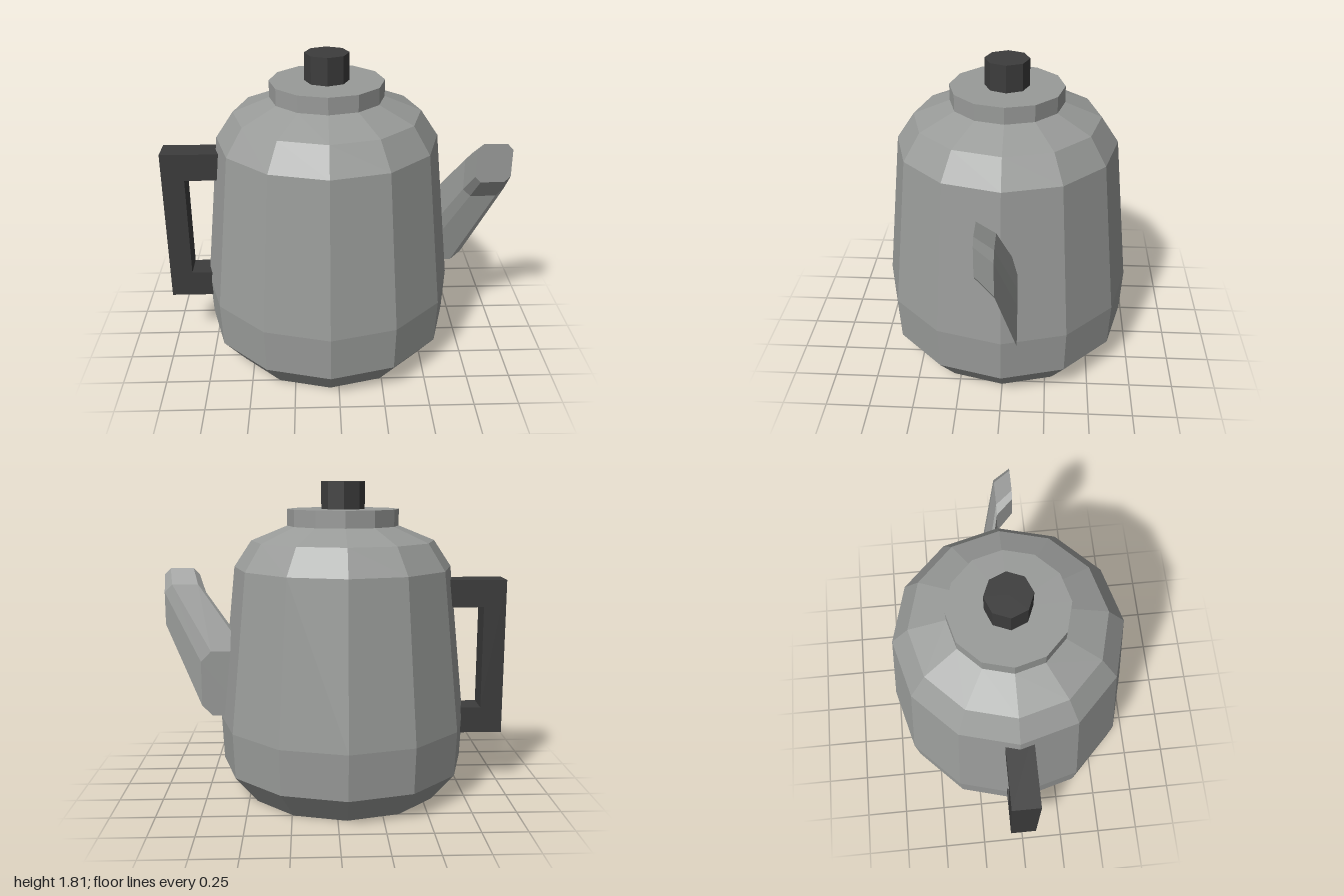
import * as THREE from 'three';

const metal = new THREE.MeshStandardMaterial({ color: 0x999b99, flatShading: true });
metal.name = 'grey metal';
const dark = new THREE.MeshStandardMaterial({ color: 0x3c3c3c, flatShading: true });
dark.name = 'dark grip';

const AXIS_X = -0.05; // the pot sits slightly toward the handle

function part(group, name, geometry, material) {
  const mesh = new THREE.Mesh(geometry, material);
  mesh.name = name;
  group.add(mesh);
  return mesh;
}

// Faceted solid of revolution from [radius, y] pairs, bottom to top
function turned(profile, sides) {
  return new THREE.LatheGeometry(profile.map(([r, y]) => new THREE.Vector2(r, y)), sides);
}

// Rectangle with cut corners, counter-clockwise, at depth z
function cutRect({ x0, x1, y0, y1, c, z }) {
  return [
    [x0 + c, y0], [x1 - c, y0], [x1, y0 + c], [x1, y1 - c],
    [x1 - c, y1], [x0 + c, y1], [x0, y1 - c], [x0, y0 + c],
  ].map(([x, y]) => [x, y, z]);
}

// Skin of eight-cornered rings running toward +z, capped at both ends
function loft(rings) {
  const n = rings[0].length;
  const index = [];
  for (let r = 0; r < rings.length - 1; r++) {
    for (let i = 0; i < n; i++) {
      const j = (i + 1) % n;
      const a = r * n + i, b = r * n + j;
      index.push(a, b, b + n, a, b + n, a + n);
    }
  }
  const last = (rings.length - 1) * n;
  for (let i = 1; i < n - 1; i++) {
    index.push(0, i + 1, i, last, last + i, last + i + 1);
  }
  const geometry = new THREE.BufferGeometry();
  geometry.setAttribute('position', new THREE.Float32BufferAttribute(rings.flat(2), 3));
  geometry.setIndex(index);
  const flat = geometry.toNonIndexed();
  flat.computeVertexNormals();
  return flat;
}

export function createModel() {
  const group = new THREE.Group();
  group.name = 'coffeePot';

  // Twelve-sided body with shoulder and raised lid
  const body = part(group, 'body', turned([
    [0, 0], [0.58, 0], [0.715, 0.165], [0.727, 0.425], [0.63, 1.325],
    [0.53, 1.475], [0.322, 1.56], [0.322, 1.655], [0, 1.655],
  ], 12), metal);
  body.position.x = AXIS_X;

  // Eight-sided knob
  const knob = part(group, 'lidKnob', new THREE.CylinderGeometry(0.125, 0.125, 0.16, 8), dark);
  knob.position.set(AXIS_X, 1.73, 0);

  // C-shaped handle, its arms running into the body
  const outline = new THREE.Shape([
    [-1, 0.33], [-0.66, 0.33], [-0.66, 0.485], [-0.87, 0.485],
    [-0.87, 1.09], [-0.6, 1.09], [-0.6, 1.25], [-1, 1.25],
  ].map(([x, y]) => new THREE.Vector2(x, y)));
  const handle = part(group, 'handle',
    new THREE.ExtrudeGeometry(outline, { depth: 0.155, bevelEnabled: false }), dark);
  handle.position.z = -0.0775;

  // Slanted spout, tapering toward the mouth
  part(group, 'spout', loft([
    cutRect({ x0: 0.46, x1: 0.78, y0: 0.455, y1: 0.84, c: 0.06, z: -0.09 }),
    cutRect({ x0: 0.75, x1: 0.99, y0: 0.94, y1: 1.22, c: 0.045, z: 0.01 }),
    cutRect({ x0: 0.795, x1: 1, y0: 1.07, y1: 1.305, c: 0.035, z: 0.105 }),
  ]), metal);

  return group;
}
